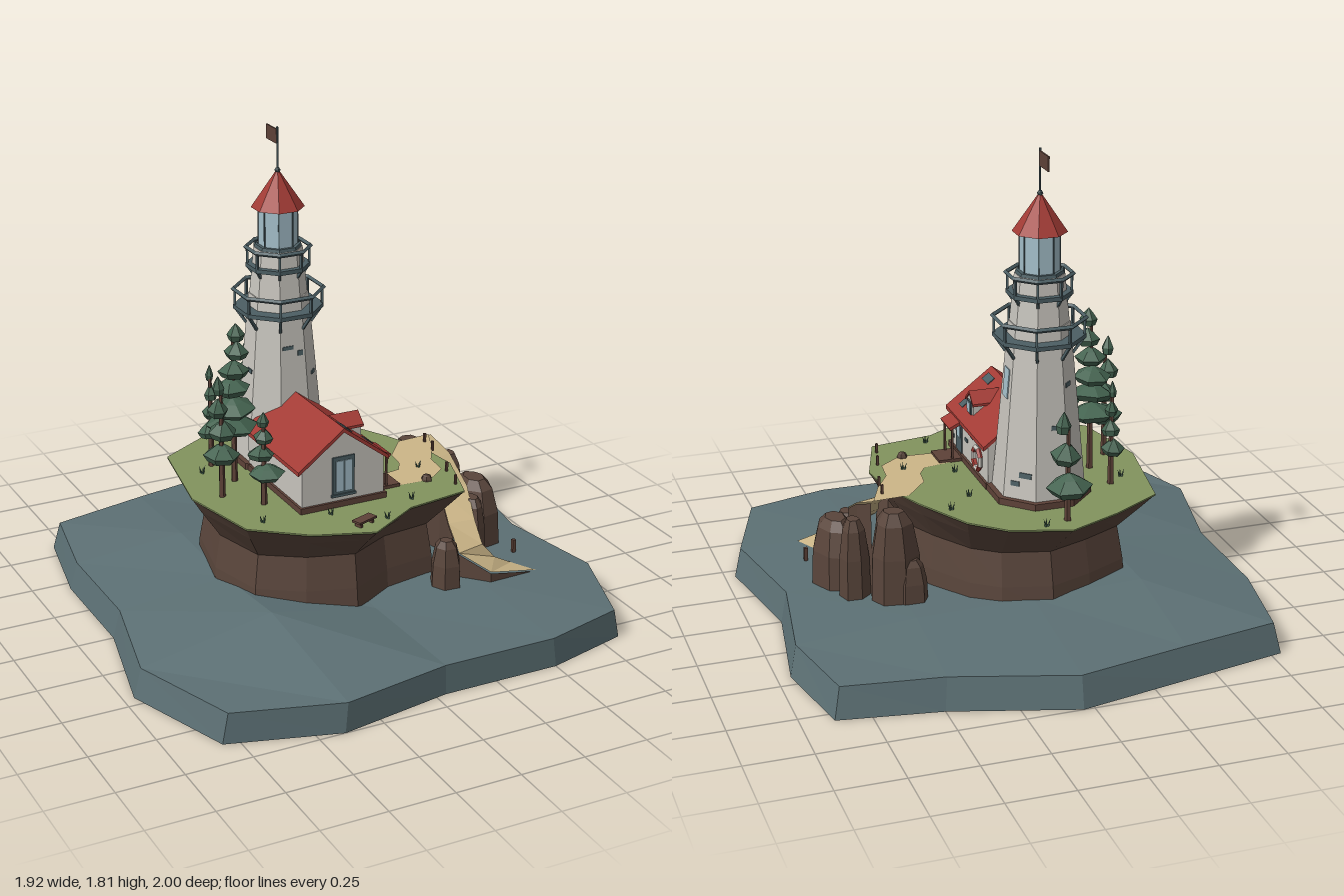
import * as THREE from 'three';

const mat = (name, color, double) => {
  const m = new THREE.MeshStandardMaterial({ color, flatShading: true });
  m.name = name;
  if (double) m.side = THREE.DoubleSide;
  return m;
};
const M = {
  water: mat('water', 0x5c7074), rock: mat('rock', 0x59453b), grass: mat('grass', 0x82935e),
  sand: mat('sand', 0xccb688, true), wall: mat('wall', 0xc8c5be), red: mat('red', 0xa23b35),
  slate: mat('slate', 0x4c5f64), glass: mat('glass', 0xa5c0cb), pine: mat('pine', 0x446350),
  wood: mat('wood', 0x5e4238),
};

let seed = 7;
const rnd = () => (seed = (seed * 16807) % 2147483647) / 2147483647;

function add(parent, name, geo, m, x = 0, y = 0, z = 0) {
  const mesh = new THREE.Mesh(geo, m);
  mesh.name = name;
  mesh.position.set(x, y, z);
  parent.add(mesh);
  return mesh;
}
const box = (p, name, m, w, h, d, x, y, z) => add(p, name, new THREE.BoxGeometry(w, h, d), m, x, y, z);
function group(parent, name, x = 0, y = 0, z = 0, ry = 0) {
  const g = new THREE.Group();
  g.name = name;
  g.position.set(x, y, z);
  g.rotation.y = ry;
  parent.add(g);
  return g;
}
function fromTris(pts) {
  const g = new THREE.BufferGeometry();
  g.setAttribute('position', new THREE.Float32BufferAttribute(pts.flat(), 3));
  g.computeVertexNormals();
  return g;
}
const quad = (out, a, b, c, d) => out.push(a, b, c, a, c, d);

// skin over rings listed bottom to top, with optional flat caps
function loft(rings, top = true, bottom = false) {
  const t = [], n = rings[0].length;
  const cap = (r, up) => {
    const c = [0, 1, 2].map(k => r.reduce((s, p) => s + p[k], 0) / n);
    r.forEach((p, i) => t.push(c, ...(up ? [r[(i + 1) % n], p] : [p, r[(i + 1) % n]])));
  };
  for (let j = 0; j + 1 < rings.length; j++)
    for (let i = 0; i < n; i++) {
      const k = (i + 1) % n;
      quad(t, rings[j][i], rings[j + 1][i], rings[j + 1][k], rings[j][k]);
    }
  if (top) cap(rings.at(-1), true);
  if (bottom) cap(rings[0], false);
  return fromTris(t);
}
function rock(p, x, z, y0, h, rx, rz, n = 7) {
  const jit = Array.from({ length: n }, () => 0.88 + rnd() * 0.24);
  const ring = (y, s) => jit.map((r, i) => {
    const a = i / n * Math.PI * 2;
    return [x + Math.cos(a) * rx * r * s, y, z + Math.sin(a) * rz * r * s];
  });
  add(p, 'boulder', loft([ring(y0, 1), ring(y0 + h * 0.55, 0.93), ring(y0 + h * 0.88, 0.7), ring(y0 + h, 0.4)]), M.rock);
}

// octagonal prism with flat sides facing the axes; radii are to the flats
const K = 1 / Math.cos(Math.PI / 8);
const octagon = (rt, rb, h) => new THREE.CylinderGeometry(rt * K, rb * K, h, 8).rotateY(Math.PI / 8);
const octRing = (r, t) => new THREE.TorusGeometry(r * K, t, 4, 8).rotateX(Math.PI / 2).rotateY(Math.PI / 8);

// gabled block along z with a chevron roof
function gable(p, hw, y0, ye, ya, z0, z1, over, th) {
  const extrude = (pts, a, b) => new THREE.ExtrudeGeometry(
    new THREE.Shape(pts.map(q => new THREE.Vector2(...q))), { depth: b - a, bevelEnabled: false }).translate(0, 0, a);
  add(p, 'gableWalls', extrude([[-hw, y0], [hw, y0], [hw, ye], [0, ya], [-hw, ye]], z0, z1), M.wall);
  const s = (ya - ye) / hw, w = hw + over, e = ya - s * w;
  add(p, 'gableRoof', extrude([[-w, e], [0, ya], [w, e], [w, e + th], [0, ya + th], [-w, e + th]], z0, z1 + over * 0.5), M.red);
}

function pine(p, x, z, top, r, layers) {
  const g = group(p, 'pineTree', x, 0, z), h = top - 0.5;
  add(g, 'trunk', new THREE.CylinderGeometry(0.007, 0.013, h * 0.9, 5), M.wood, 0, 0.5 + h * 0.45, 0);
  for (let i = 0; i < layers; i++) {
    const f = i / (layers - 1), s = r * (1 - 0.66 * f), t = h * 0.62 / layers;
    const prof = [[0.001, -t * 0.4], [s * 0.75, -t * 0.35], [s, 0], [s * 0.45, t * 0.4], [0.001, t * 0.65]];
    const m = add(g, 'foliage', new THREE.LatheGeometry(prof.map(q => new THREE.Vector2(...q)), 6), M.pine,
      (rnd() - 0.5) * r * 0.35, 0.5 + h * (0.36 + 0.57 * f), (rnd() - 0.5) * r * 0.35);
    m.rotation.set((rnd() - 0.5) * 0.25, rnd() * 6, (rnd() - 0.5) * 0.25);
  }
}

function buildSea(root) {
  const g = group(root, 'sea');
  const rows = [
    [[-.79, .115, -.83], [-.40, .12, -.91], [.04, .12, -1], [.5, .12, -.86], [.88, .115, -.80]],
    [[-.86, .115, -.45], [-.42, .165, -.42], [.02, .15, -.42], [.48, .14, -.42], [.95, .115, -.44]],
    [[-.86, .115, 0], [-.42, .16, 0], [.02, .14, 0], [.48, .13, 0], [.88, .115, 0]],
    [[-.96, .115, .45], [-.42, .2, .42], [.02, .118, .42], [.48, .13, .42], [.96, .115, .45]],
    [[-.81, .115, .88], [-.40, .115, 1], [.04, .115, .92], [.5, .115, .92], [.83, .115, .83]],
  ];
  const topPt = ([x, y, z]) => [x * 0.972, y, z * 0.985 + 0.012];
  const rim = [...rows[0], ...[1, 2, 3].map(i => rows[i][4]), ...[...rows[4]].reverse(), ...[3, 2, 1].map(i => rows[i][0])];
  add(g, 'seaSides', loft([rim.map(([x, , z]) => [x, 0, z]), rim.map(topPt)], false, true), M.water);
  const t = [], R = rows.map(r => r.map(topPt));
  for (let i = 0; i < 4; i++)
    for (let j = 0; j < 4; j++) quad(t, R[i][j], R[i + 1][j], R[i + 1][j + 1], R[i][j + 1]);
  add(g, 'seaSurface', fromTris(t), M.water);
}

function buildIsland(root) {
  const g = group(root, 'island');
  const rim = [[-.46, -.40], [-.26, -.52], [-.06, -.61], [.16, -.54], [.28, -.43], [.40, -.2], [.47, -.02], [.49, .14],
    [.41, .39], [.16, .43], [-.05, .56], [-.27, .48], [-.46, .33], [-.53, 0]];
  const ring = (y, sx, sz) => rim.map(([x, z]) => [x * sx, y, z * sz]);
  add(g, 'cliff', loft([ring(.1, .84, .72), ring(.2, .83, .7), ring(.33, .79, .66), ring(.44, .93, .88), ring(.5, 1, 1)], false), M.rock);
  add(g, 'lawn', loft([ring(.496, 1, 1), ring(.502, 1, 1)]), M.grass);

  // sandy path over the lawn
  const pts = [[.17, .13], [.28, .11], [.31, .06], [.32, -.02], [.41, -.13], [.55, -.14], [.50, -.02], [.44, .08], [.43, .18], [.34, .25], [.17, .24]];
  const path = new THREE.ShapeGeometry(new THREE.Shape(pts.map(([x, z]) => new THREE.Vector2(x, -z))));
  add(g, 'lawnPath', path.rotateX(-Math.PI / 2), M.sand, 0, .505, 0);

  // ramp down to the water: inner x, z, outer x, z, height
  const ramp = [[.40, -.06, .56, -.14, .503], [.44, .02, .585, -.03, .46], [.46, .12, .58, .12, .38], [.43, .24, .54, .25, .30],
    [.41, .36, .53, .33, .23], [.50, .45, .58, .34, .17], [.71, .43, .66, .33, .125]];
  const sand = [], skirt = [];
  for (let i = 0; i + 1 < ramp.length; i++) {
    const [a, b, c, d, y] = ramp[i], [e, f, p, q, v] = ramp[i + 1];
    quad(sand, [a, y, b], [e, v, f], [p, v, q], [c, y, d]);
    quad(skirt, [a, .1, b], [e, .1, f], [e, v - .006, f], [a, y - .006, b]);
    quad(skirt, [c, y - .006, d], [p, v - .006, q], [p, .1, q], [c, .1, d]);
  }
  add(g, 'rampPath', fromTris(sand), M.sand);
  add(g, 'rampBank', fromTris(skirt), M.rock);

  rock(g, .49, -.19, .1, .38, .10, .09);
  rock(g, .65, .05, .1, .28, .09, .13);
  rock(g, .62, -.1, .1, .33, .06, .07);
  rock(g, .58, .16, .1, .25, .055, .08);
  rock(g, .34, .38, .1, .21, .06, .06, 6);
  rock(g, .44, -.24, .1, .2, .07, .05, 6);
  rock(g, .33, .24, .49, .035, .022, .022, 6);
  box(g, 'mooringPost', M.wood, .014, .07, .014, .72, .14, .25);
  for (const [x, z] of [[.49, 0], [.5, -.08], [.44, .2], [.41, .32]]) box(g, 'pathPost', M.wood, .009, .04, .009, x, .52, z);

  // bench
  const bench = group(g, 'bench', -.06, .5, .48, .35);
  box(bench, 'seat', M.wood, .09, .008, .04, 0, .022, 0);
  for (const s of [-1, 1]) box(bench, 'leg', M.wood, .01, .02, .03, s * .03, .01, 0);

  // grass tufts
  for (const [x, z] of [[-.13, .35], [.04, .47], [.2, .36], [-.4, -.2], [.2, -.2], [.3, -.3], [.02, -.55], [.36, .12], [-.38, .3], [.18, .04]])
    for (let i = 0; i < 3; i++) {
      const b = add(g, 'grassTuft', new THREE.ConeGeometry(.005, .035, 4), M.pine, x + (i - 1) * .008, .515, z + (i % 2) * .008);
      b.rotation.z = (1 - i) * .3;
    }
  pine(g, -.32, -.08, 1.14, .1, 6);
  pine(g, -.42, .03, .97, .07, 4);
  pine(g, -.31, .16, .86, .068, 4);
  pine(g, -.34, -.25, .9, .045, 4);
  pine(g, -.07, -.52, .89, .085, 3);
}

function buildTower(root) {
  const g = group(root, 'tower', -.06, 0, -.23);
  add(g, 'plinth', octagon(.18, .18, .03), M.wood, 0, .512, 0);
  add(g, 'shaft', octagon(.105, .16, .65), M.wall, 0, .845, 0);
  add(g, 'upperShaft', octagon(.085, .103, .2), M.wall, 0, 1.25, 0);

  // galleries with railings and brackets
  for (const [y, r, h] of [[1.115, .158, .07], [1.28, .113, .07]]) {
    const d = group(g, 'gallery', 0, y, 0);
    add(d, 'deck', octagon(r, r, .016), M.slate);
    add(d, 'topRail', octRing(r, .009), M.slate, 0, h, 0);
    for (let k = 0; k < 8; k++) {
      const s = group(d, 'railBay', 0, 0, 0, (k + .5) * Math.PI / 4);
      box(s, 'post', M.slate, .009, h, .009, 0, h / 2, r * K - .006);
      const b = box(s, 'bracket', M.slate, .01, .07, .01, 0, -.035, r * K - .028);
      b.rotation.x = .6;
    }
  }

  // lantern room
  add(g, 'lanternBase', octagon(.08, .085, .02), M.slate, 0, 1.352, 0);
  add(g, 'lanternGlass', octagon(.068, .068, .15), M.glass, 0, 1.43, 0);
  for (let k = 0; k < 8; k++)
    box(group(g, 'mullion', 0, 0, 0, (k + .5) * Math.PI / 4), 'bar', M.slate, .005, .15, .005, 0, 1.43, .068 * K);
  add(g, 'lanternRoof', octagon(.008, .093, .135), M.red, 0, 1.572, 0);
  add(g, 'finial', new THREE.IcosahedronGeometry(.012, 0), M.slate, 0, 1.645, 0);
  add(g, 'flagPole', new THREE.CylinderGeometry(.004, .004, .17, 5), M.slate, 0, 1.725, 0);
  box(g, 'flag', M.wood, .006, .055, .088, 0, 1.772, -.046);

  // window and exposed stones: face, sideways offset, height, size, material
  const details = [[2, 0, .945, .05, .11, 'glass'], [0, -.02, .985, .045, .014, 'slate'], [0, .03, .96, .02, .02, 'slate'],
    [3, .02, .62, .05, .02, 'slate'], [3, -.02, .585, .035, .018, 'slate'], [1, .01, .86, .03, .014, 'slate'],
    [4, .02, .8, .04, .016, 'slate'], [5, -.02, .95, .035, .016, 'slate'], [6, .02, .88, .035, .016, 'slate']];
  for (const [k, u, y, w, h, m] of details) {
    const s = group(g, 'towerDetail', 0, 0, 0, k * Math.PI / 4);
    box(s, m === 'glass' ? 'towerWindow' : 'stone', M[m], w, h, .008, u, y, .16 - (y - .52) * .0846).rotation.x = -.0845;
  }
}

function windowPane(p, w, h, x, y, z) {
  box(p, 'windowFrame', M.slate, w, h, .008, x, y, z);
  for (const s of [-1, 1]) box(p, 'windowPane', M.glass, w * .32, h * .8, .009, x + s * w * .2, y, z + .003);
}

function buildHouse(root) {
  const g = group(root, 'house', -.055);
  box(g, 'foundation', M.wood, .355, .025, .47, 0, .512, .075);
  gable(g, .168, .5, .668, .795, -.16, .3, .018, .016);
  windowPane(g, .09, .15, 0, .625, .302);
  box(g, 'sill', M.slate, .1, .01, .014, 0, .548, .304);
  box(g, 'roofPatch', M.slate, .035, .006, .07, .035, .785, .24).rotation.z = -.65;
  box(g, 'roofPatch', M.slate, .035, .006, .04, .14, .705, .22).rotation.z = -.65;

  const dormer = group(g, 'dormer', 0, 0, .125, Math.PI / 2);
  gable(dormer, .036, .68, .75, .78, .03, .145, .012, .01);
  windowPane(dormer, .045, .05, 0, .725, .147);

  // side entrance on the +x wall
  const side = group(g, 'sideWall', .168, 0, 0, Math.PI / 2);
  box(side, 'doorFrame', M.slate, .07, .125, .008, -.19, .58, .001);
  box(side, 'door', M.glass, .04, .045, .009, -.19, .605, .003);
  box(side, 'porchRoof', M.red, .115, .012, .068, -.19, .652, .027).rotation.x = .45;
  box(side, 'step', M.wood, .11, .015, .1, -.19, .507, .05);
  for (const s of [-1, 1]) box(side, 'porchPost', M.wood, .008, .13, .008, -.19 + s * .048, .57, .045);
  const buoy = group(side, 'lifebuoy', .05, .585, .008);
  for (let k = 0; k < 8; k++) {
    const arc = add(buoy, 'buoySegment', new THREE.TorusGeometry(.042, .011, 5, 1, Math.PI / 4), k % 2 ? M.wall : M.red);
    arc.rotation.z = (k + .5) * Math.PI / 4;
  }
  for (const [u, y] of [[-.27, .56], [-.1, .6], [-.03, .64]]) box(side, 'stone', M.slate, .03, .013, .008, u, y, 0);
}

export function createModel() {
  seed = 7;
  const root = new THREE.Group();
  root.name = 'lighthouseIsland';
  buildSea(root);
  buildIsland(root);
  buildTower(root);
  buildHouse(root);
  return root;
}
